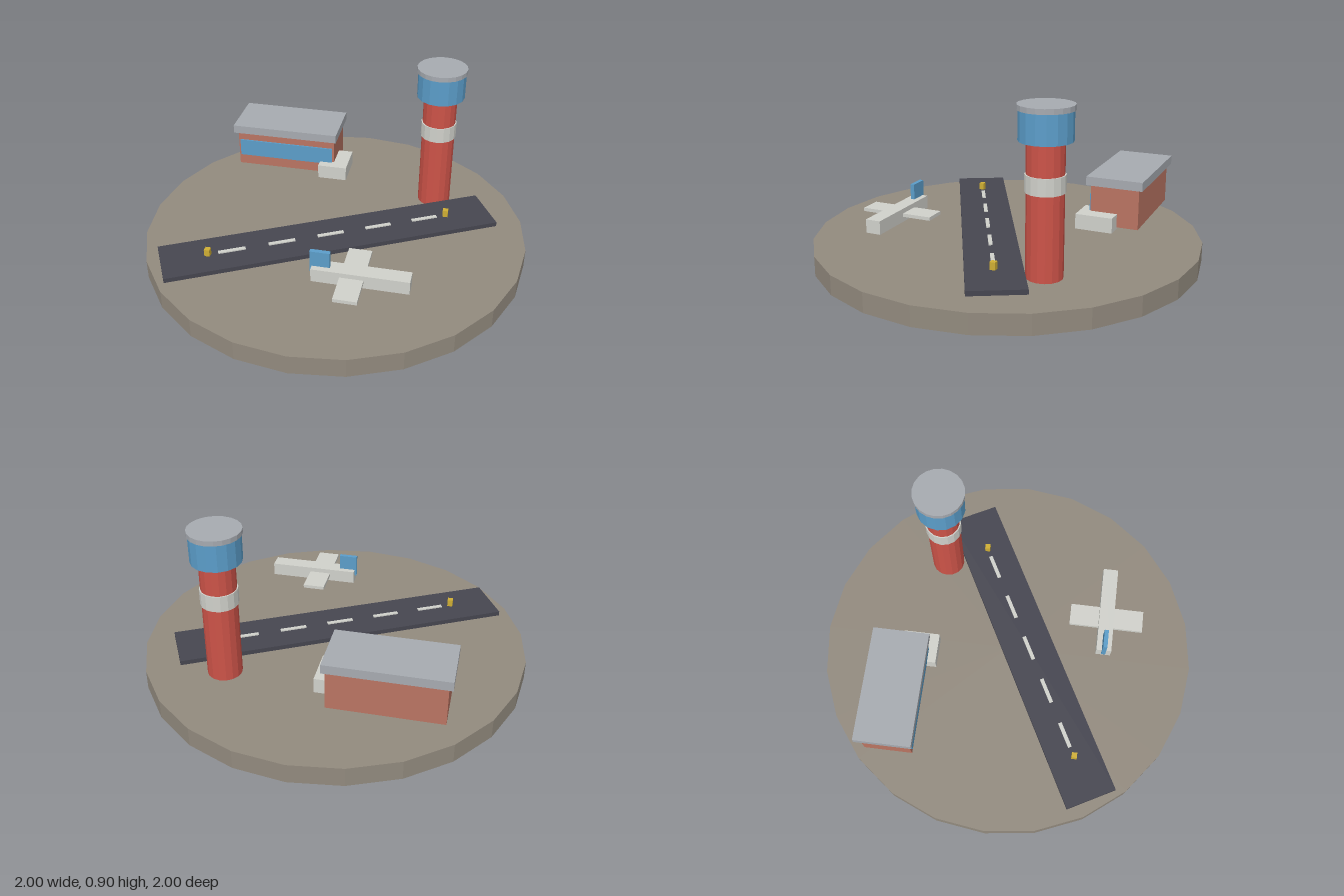
import * as THREE from 'three';

const paint = (name, color) => {
  const m = new THREE.MeshStandardMaterial({ color, flatShading: true });
  m.name = name;
  return m;
};

export function createModel() {
  const ground = paint('ground', 0x928a7e);
  const asphalt = paint('asphalt', 0x464650);
  const red = paint('tower red', 0xcc5348);
  const brick = paint('brick', 0xb97462);
  const grey = paint('roof grey', 0xa6aab0);
  const glass = paint('glass blue', 0x5b9dc9);
  const white = paint('white', 0xd0d1cb);
  const yellow = paint('lamp yellow', 0xcfae34);

  const model = new THREE.Group();
  model.name = 'airport';

  const group = (name) => {
    const g = new THREE.Group();
    g.name = name;
    model.add(g);
    return g;
  };
  const add = (parent, name, geometry, material, x, y, z) => {
    const mesh = new THREE.Mesh(geometry, material);
    mesh.name = name;
    mesh.position.set(x, y, z);
    parent.add(mesh);
    return mesh;
  };
  // Box given by its extent on each axis
  const box = (parent, name, material, [x0, x1], [y0, y1], [z0, z1]) =>
    add(parent, name, new THREE.BoxGeometry(x1 - x0, y1 - y0, z1 - z0), material,
      (x0 + x1) / 2, (y0 + y1) / 2, (z0 + z1) / 2);
  // Upright drum from y0 to y1
  const drum = (parent, name, material, r, y0, y1, sides) =>
    add(parent, name, new THREE.CylinderGeometry(r, r, y1 - y0, sides), material, 0, (y0 + y1) / 2, 0);

  drum(model, 'base', ground, 1, 0, 0.1, 24);

  // Runway with centre dashes
  const runway = group('runway');
  runway.position.set(0, 0, 0.115);
  runway.rotation.y = 0.491;
  box(runway, 'runwaySlab', asphalt, [-0.88, 0.88], [0.108, 0.132], [-0.137, 0.137]);
  for (let i = -2; i <= 2; i++) {
    const x = i * 0.26;
    box(runway, 'runwayDash', white, [x - 0.07, x + 0.07], [0.129, 0.138], [-0.01, 0.01]);
  }
  // Lamps at the two runway ends
  for (const s of [-1, 1]) {
    const x = s * 0.566, z = 0.117 - s * 0.302;
    box(model, 'runwayLamp', yellow, [x - 0.014, x + 0.014], [0.13, 0.17], [z - 0.014, z + 0.014]);
  }

  // Control tower
  const tower = group('controlTower');
  tower.position.set(0.48, 0, -0.4);
  drum(tower, 'towerShaft', red, 0.088, 0.1, 0.737, 16);
  drum(tower, 'towerBand', white, 0.094, 0.505, 0.587, 16);
  drum(tower, 'towerCab', glass, 0.125, 0.737, 0.875, 16);
  drum(tower, 'towerRoof', grey, 0.131, 0.875, 0.9, 20);

  // Terminal building with its boarding gate
  const terminal = group('terminal');
  box(terminal, 'terminalWalls', brick, [-0.66, -0.1], [0.175, 0.382], [-0.67, -0.42]);
  box(terminal, 'terminalRoof', grey, [-0.68, -0.085], [0.382, 0.428], [-0.69, -0.398]);
  box(terminal, 'terminalWindow', glass, [-0.65, -0.11], [0.235, 0.332], [-0.421, -0.412]);
  box(terminal, 'boardingGate', white, [-0.18, -0.02], [0.167, 0.245], [-0.56, -0.367]);

  // Airplane with its nose towards +x
  const plane = group('airplane');
  box(plane, 'fuselage', white, [0, 0.475], [0.17, 0.24], [0.477, 0.557]);
  box(plane, 'wings', white, [0.14, 0.256], [0.197, 0.215], [0.32, 0.715]);
  box(plane, 'tailFin', glass, [-0.01, 0.088], [0.205, 0.322], [0.506, 0.528]);

  return model;
}
